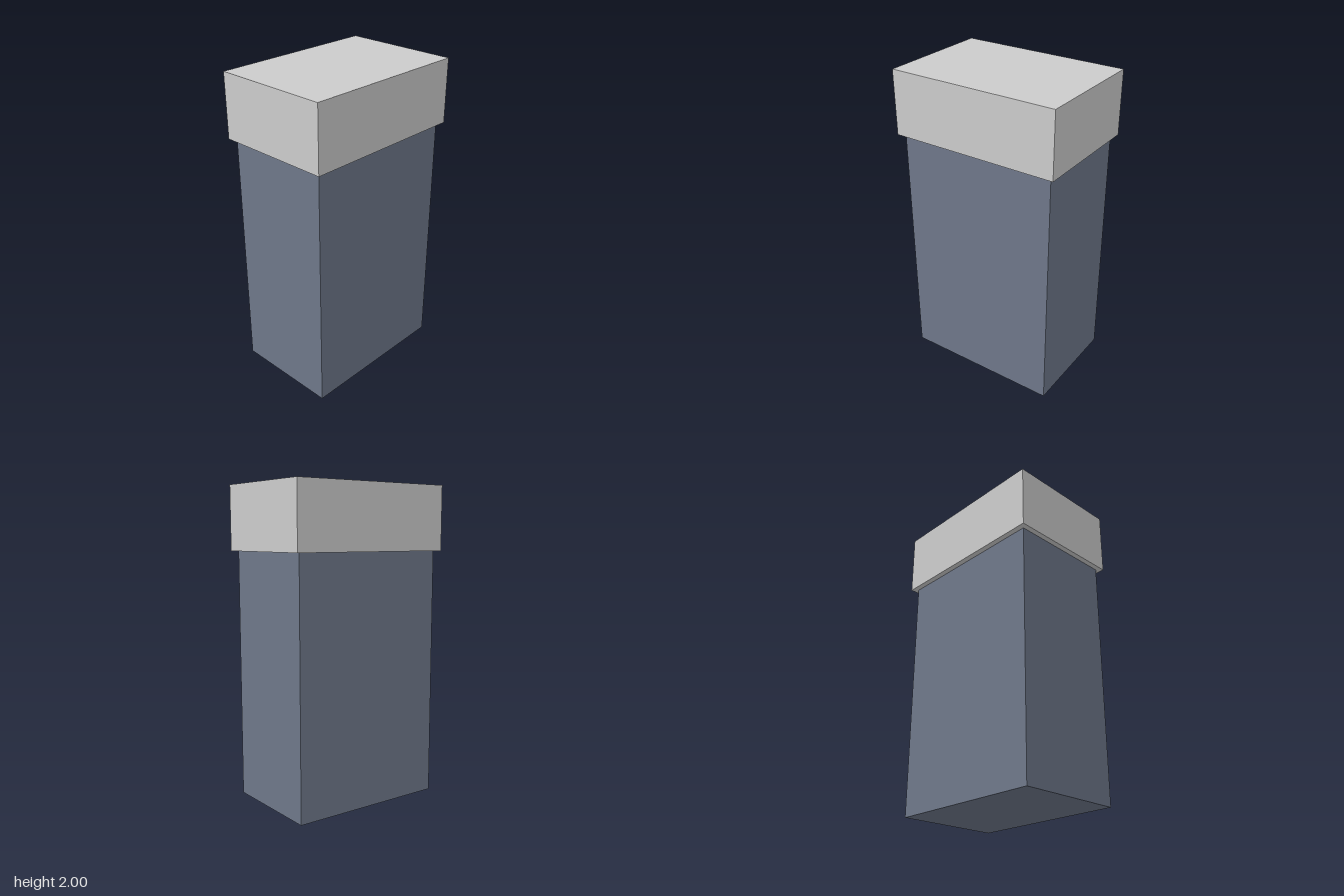
import * as THREE from 'three';

// Box standing on height y0, centred on x and z
function slab(name, width, depth, y0, y1, color) {
  const geometry = new THREE.BoxGeometry(width, y1 - y0, depth);
  const mesh = new THREE.Mesh(geometry, new THREE.MeshStandardMaterial({ color }));
  mesh.name = name;
  mesh.position.y = (y0 + y1) / 2;
  return mesh;
}

export function createModel() {
  const model = new THREE.Group();
  model.name = 'liddedBox';

  // Tall body and the slightly overhanging lid
  model.add(slab('body', 0.686, 1.032, 0, 1.59, 0x6e7789));
  model.add(slab('lid', 0.756, 1.1, 1.59, 2, 0xcccccc));

  return model;
}
